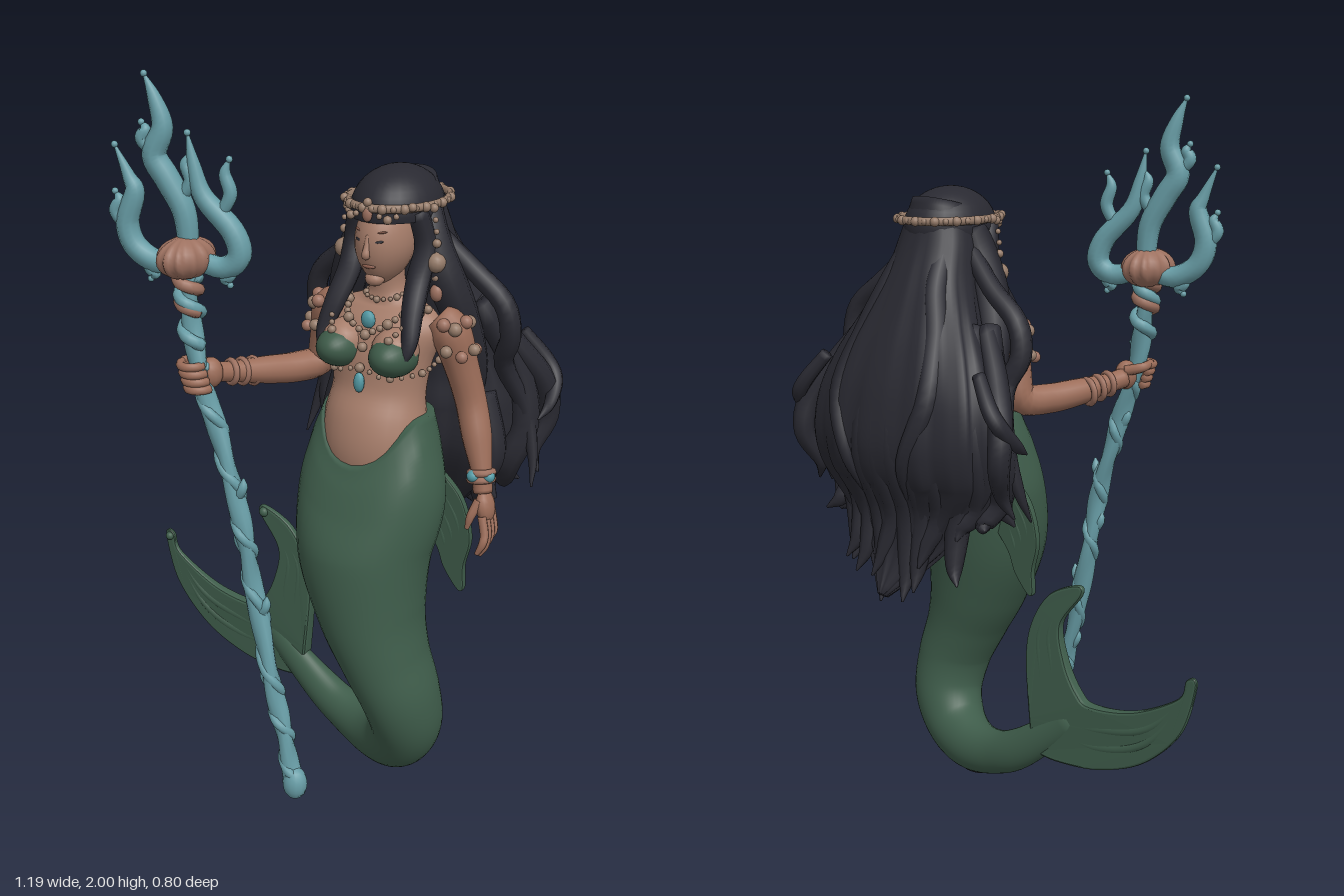
import * as THREE from 'three';

const C = 0.205; // mirror plane of the body
const mat = (name, color) => Object.assign(new THREE.MeshStandardMaterial({ color }), { name });
const vec = p => new THREE.Vector3(p[0], p[1], p[2]);
const curve = pts => new THREE.CatmullRomCurve3(pts.map(vec), false, 'catmullrom');
const both = fn => [1, -1].forEach(fn);

// Smooth loft through [x, y, z, half width, half depth] stations
function loft(pts, { seg = 20, sides = 8, ref = [0, 0, 1], ripple = () => 1 } = {}) {
  const path = curve(pts), size = curve(pts.map(p => [p[3], p[4] ?? p[3], 0]));
  const axis = vec(ref), pos = [], idx = [];
  for (let i = 0; i <= seg; i++) {
    const t = i / seg, c = path.getPoint(t), r = size.getPoint(t), T = path.getTangent(t);
    const side = T.clone().cross(axis).normalize(), depth = side.clone().cross(T);
    for (let j = 0; j < sides; j++) {
      const a = j / sides * Math.PI * 2, k = ripple(a, t);
      const v = c.clone().addScaledVector(side, Math.cos(a) * r.x * k).addScaledVector(depth, Math.sin(a) * r.y * k);
      pos.push(v.x, v.y, v.z);
    }
  }
  const n = (seg + 1) * sides, e = seg * sides;
  pos.push(...path.getPoint(0), ...path.getPoint(1));
  for (let j = 0; j < sides; j++) {
    const k = (j + 1) % sides;
    for (let o = 0; o < e; o += sides) {
      const p = o + sides;
      idx.push(o + j, p + j, o + k, p + j, p + k, o + k);
    }
    idx.push(n, j, k, n + 1, e + k, e + j);
  }
  const g = new THREE.BufferGeometry();
  g.setAttribute('position', new THREE.Float32BufferAttribute(pos, 3));
  g.setIndex(idx);
  g.computeVertexNormals();
  return g;
}

// Move every vertex by a rule
function warp(g, rule) {
  const p = g.attributes.position, v = new THREE.Vector3();
  for (let i = 0; i < p.count; i++) {
    rule(v.fromBufferAttribute(p, i));
    p.setXYZ(i, v.x, v.y, v.z);
  }
  g.computeVertexNormals();
  return g;
}

// Thin bevelled plate with a smooth outline
function plate(pts, depth, bevel) {
  const s = new THREE.Shape();
  s.moveTo(...pts[0]);
  s.splineThru(pts.slice(1).map(p => new THREE.Vector2(...p)));
  const opt = { depth, bevelThickness: bevel, bevelSize: bevel * .6, bevelSegments: 2, curveSegments: 60 };
  return new THREE.ExtrudeGeometry(s, opt).translate(0, 0, -depth / 2);
}

export function createModel() {
  const root = new THREE.Group();
  const skin = mat('skin', 0xa67d6a), armSkin = mat('arm skin', 0x9c6d59), tailGreen = mat('tail green', 0x3f5d4b);
  const hairBlack = mat('hair black', 0x292931), teal = mat('coral teal', 0x689da6), bead = mat('bead tan', 0x957b69);
  const gem = mat('gem turquoise', 0x5299a4), lip = mat('lip brown', 0x8a5c4c), shell = mat('shell brown', 0x9d7160);
  const finGreen = mat('fin green', 0x3d5a48);
  finGreen.side = THREE.DoubleSide;

  const add = (name, geo, m) => {
    const mesh = new THREE.Mesh(geo, m);
    mesh.name = name;
    root.add(mesh);
    return mesh;
  };
  const tube = (name, m, pts, opt) => add(name, loft(pts, opt), m);
  // Tube that swells in the middle and tapers to a point
  const taper = (name, m, w, pts, opt) => tube(name, m, pts.map((p, i) => {
    const t = i / (pts.length - 1);
    return [...p, w * (1 - t * t) * (.7 + .9 * t) + .003];
  }), opt);
  const ball = (name, m, x, y, z, sx, sy = sx, sz = sx) => {
    const b = add(name, new THREE.SphereGeometry(1, 14, 10), m);
    b.position.set(x, y, z);
    b.scale.set(sx, sy, sz);
    return b;
  };
  const ring = (name, m, at, dir, r, t) => {
    const o = add(name, new THREE.TorusGeometry(r, t, 8, 20), m);
    o.position.copy(vec(at));
    o.quaternion.setFromUnitVectors(new THREE.Vector3(0, 0, 1), vec(dir).normalize());
  };
  const beads = (name, m, pts, n, r) => {
    for (let i = 0; i <= n; i++) ball(name, m, ...curve(pts).getPointAt(i / n), r * (i % 3 ? .75 : 1.15));
  };

  // Tail, its waistline dipping in a rounded curve in front
  const tail = loft([[.21, 1.13, .05, .152, .143], [.21, 1.03, .06, .183, .16], [.215, .9, .085, .208, .168], [.215, .74, .12, .19, .172],
    [.25, .57, .135, .15, .157], [.295, .44, .135, .12, .14], [.338, .32, .12, .106, .125], [.342, .21, .09, .1, .108],
    [.29, .125, .06, .095, .09], [.2, .09, .025, .085, .075], [.09, .1, 0, .068, .056], [-.02, .15, -.015, .058, .045],
    [-.2, .29, -.02, .04, .02]], { seg: 90, sides: 40 });
  add('tail', warp(tail, v => {
    const front = THREE.MathUtils.smoothstep(v.z, .05, .18), mid = Math.max(0, 1 - ((v.x - C) / .17) ** 2);
    if (v.y > .75) v.y -= .14 * front * mid * (v.y - .75) / .38;
  }), tailGreen);
  // Dark patches on the hips and underside
  both(s => { ball('hipPatch', hairBlack, C + s * .12, .87, -.05, .028, .045, .006).rotation.y = -s * .53; });
  ball('underPatch', hairBlack, .18, .012, .02, .05, .009, .028);

  // Two lobed tail fin, thinner towards the tips
  const fluke = plate([[-.08, .17], [-.16, .16], [-.3, .175], [-.44, .235], [-.55, .35], [-.592, .49], [-.575, .5], [-.55, .44],
    [-.41, .365], [-.27, .345], [-.22, .375], [-.175, .46], [-.158, .57], [-.225, .67], [-.21, .685], [-.13, .645], [-.075, .56],
    [-.055, .45], [-.07, .26]], .02, .012);
  add('tailFin', warp(fluke, v => {
    v.z = v.z * (1.1 - .75 * Math.min(1, Math.hypot(v.x + .12, v.y - .26) / .5)) - .02;
  }), tailGreen);
  for (let i = 0; i < 2; i++) {
    taper('finRib', tailGreen, .018, [[-.14, .25 + .03 * i, -.02], [-.3, .235 + .055 * i, -.02], [-.46, .3 + .04 * i, -.02], [-.58, .48, -.02]]);
    taper('finRib', tailGreen, .018, [[-.12, .28, -.02], [-.1 - .04 * i, .42, -.02], [-.1 - .03 * i, .55, -.02], [-.21, .67, -.02]]);
  }
  ball('finTip', tailGreen, -.582, .495, -.012, .013);
  ball('finTip', tailGreen, -.216, .676, -.012, .015);

  // Hip fins
  both(s => {
    const f = plate([[.15, .98], [.235, .9], [.268, .79], [.252, .7], [.25, .625], [.2, .68], [.175, .74], [.13, .8]], .01, .006);
    const fin = add('hipFin', f, finGreen);
    fin.position.x = C;
    fin.scale.x = s;
    for (let i = 0; i < 3; i++) {
      taper('hipFinRib', tailGreen, .011, [[C + s * .17, .93 - i * .05, 0], [C + s * (.235 - i * .02), .82 - i * .03, 0], [C + s * (.245 - i * .025), .68 + i * .02, 0]]);
    }
  });

  // Torso and neck
  add('torso', loft([[.21, .93, .06, .13, .11], [.21, 1.02, .06, .146, .128], [C, 1.1, .052, .144, .122], [C, 1.18, .038, .132, .1],
    [C, 1.27, .025, .142, .1], [C, 1.345, .008, .165, .09], [C, 1.395, 0, .14, .065], [C, 1.425, 0, .07, .052],
    [C, 1.46, .002, .046], [C, 1.53, .01, .045]], { seg: 50, sides: 28 }), skin);
  ball('navel', lip, C, 1.085, .175, .005, .01, .004);

  // Chest with green cups and strings of beads
  both(s => {
    ball('breast', skin, C + s * .077, 1.31, .09, .062, .06, .068);
    const cup = add('cup', new THREE.SphereGeometry(1, 20, 14, 0, Math.PI * 2, 0, Math.PI * .6), finGreen);
    cup.position.set(C + s * .08, 1.297, .1);
    cup.scale.set(.06, .085, .054);
    cup.rotation.x = Math.PI / 2 - .1;
    beads('cupString', bead, [[C + s * .085, 1.35, .14], [C + s * .115, 1.39, .09], [C + s * .13, 1.41, .02]], 6, .01);
    beads('bandString', bead, [[C, 1.262, .135], [C + s * .075, 1.245, .135], [C + s * .14, 1.25, .06], [C + s * .14, 1.26, -.03]], 9, .009);
    beads('necklace', bead, [[C, 1.345, .115], [C + s * .06, 1.38, .1], [C + s * .1, 1.42, .03]], 7, .012);
    beads('choker', bead, [[C, 1.425, .06], [C + s * .04, 1.43, .045], [C + s * .055, 1.44, 0]], 5, .008);
  });
  const jewel = (y, z, w, h) => {
    const g = add('pendantGem', new THREE.SphereGeometry(1, 8, 6), gem);
    g.position.set(C, y, z);
    g.scale.set(w, h, .014);
  };
  jewel(1.382, .1, .022, .024);
  jewel(1.222, .142, .016, .028);
  ball('pendantBead', bead, C, 1.315, .128, .013);
  ball('pendantBead', bead, C, 1.262, .14, .013);

  // Head and face
  const head = add('head', warp(new THREE.SphereGeometry(1, 28, 22), v => { if (v.y < 0) v.x *= 1 - .32 * v.y * v.y; }), skin);
  head.position.set(C, 1.575, .02);
  head.scale.set(.074, .115, .094);
  tube('nose', skin, [[C, 1.605, .105, .006], [C, 1.575, .113, .008], [C, 1.556, .117, .011], [C, 1.55, .11, .009]]);
  ball('mouth', lip, C, 1.523, .1, .02, .006, .009);
  ball('chin', skin, C, 1.484, .07, .026, .02, .026);
  both(s => {
    ball('eye', hairBlack, C + s * .028, 1.59, .102, .013, .004, .005).rotation.set(0, s * .35, s * .12);
    ball('brow', lip, C + s * .03, 1.613, .096, .018, .003, .005).rotation.set(0, s * .35, s * .15);
  });

  // Hair: cap, flowing mass, loose strands
  const cap = add('hairCap', new THREE.SphereGeometry(1, 28, 12, 0, Math.PI * 2, 0, Math.PI * .54), hairBlack);
  cap.position.set(C, 1.65, -.04);
  cap.scale.set(.115, .11, .145);
  const hairRows = [[-.06, .085, .1], [-.09, .115, .1], [-.125, .14, .11], [-.17, .195, .115], [-.21, .255, .125], [-.237, .295, .135],
    [-.24, .305, .145], [-.225, .285, .125], [-.235, .21, .085], [-.27, .12, .055], [-.35, .015, .015]];
  add('hairMass', loft(hairRows.map((r, i) => [C, 1.71 - i * .104, ...r]), {
    seg: 60, sides: 72, ripple: (a, t) => 1 + t * (.05 * Math.cos(13 * a + 3 * t) + .035 * Math.cos(21 * a - 4 * t)),
  }), hairBlack);
  for (let i = 0; i < 13; i++) {
    const u = i / 6 - 1, q = u * u, w = Math.sin(i * 2.4) * .04;
    taper('backStrand', hairBlack, .044, [[C + .2 * u, 1.4, -.23 + .1 * q], [C + .28 * u, 1.22, -.325 + .12 * q], [C + .31 * u, 1.06, -.345 + .13 * q],
      [C + .28 * u, .9 + .05 * q, -.29 + .1 * q], [C + .26 * u + w / 2, .76 + .13 * q + w, -.31 + .08 * q], [C + .28 * u + w, .68 + .2 * q + w, -.35 + .1 * q]]);
  }
  both(s => {
    const lock = (name, w, pts) => taper(name, hairBlack, w, pts.map(([x, y, z]) => [C + s * x, y, z]), { seg: 28 });
    lock('faceLock', .033, [[.09, 1.66, .015], [.105, 1.57, -.005], [.103, 1.49, .025], [.115, 1.41, .075], [.128, 1.33, .115], [.108, 1.27, .15]]);
    lock('sideLock', .056, [[.08, 1.65, -.05], [.105, 1.57, -.04], [.145, 1.47, -.05], [.18, 1.36, -.08], [.2, 1.22, -.13], [.19, 1.08, -.16]]);
    lock('outerStrand', .03, [[.09, 1.6, -.07], [.19, 1.5, -.1], [.28, 1.42, -.11], [.3, 1.33, -.12], [.27, 1.24, -.15], [.315, 1.11, -.2], [.35, .98, -.19], [.365, .9, -.16]]);
    lock('outerStrand', .034, [[.2, 1.4, -.14], [.28, 1.28, -.2], [.34, 1.17, -.26], [.35, 1.07, -.28], [.33, .98, -.24], [.355, .92, -.22]]);
    lock('curl', .022, [[.27, 1.3, -.26], [.33, 1.22, -.29], [.362, 1.17, -.28], [.372, 1.12, -.23], [.365, 1.09, -.18]]);
    lock('hemStrand', .044, [[.22, 1.15, -.14], [.25, 1, -.14], [.24, .92, -.13], [.28, .86, -.12]]);
    lock('backWave', .038, [[.06, 1.6, -.14], [.08, 1.5, -.2], [.12, 1.38, -.25], [.15, 1.22, -.33], [.1, 1.06, -.365], [.07, .92, -.31]]);
  });

  // Beaded headband and hanging ornaments
  const band = add('headband', new THREE.TorusGeometry(1, .07, 8, 48), bead);
  band.position.set(C, 1.675, -.045);
  band.scale.set(.122, .153, .16);
  band.rotation.x = Math.PI / 2;
  for (let i = 0; i < 30; i++) {
    const a = i / 30 * Math.PI * 2;
    ball('headbandBead', bead, C + .126 * Math.cos(a), 1.675, -.045 + .157 * Math.sin(a), i % 2 ? .009 : .013);
  }
  ball('browPendant', shell, C, 1.66, .112, .014, .02, .01);
  both(s => {
    beads('browChain', bead, [[C, 1.69, .11], [C + s * .05, 1.65, .105], [C + s * .1, 1.68, .06]], 6, .01);
    beads('earChain', bead, [[C + s * .128, 1.67, 0], [C + s * .138, 1.6, 0], [C + s * .138, 1.46, -.005]], 7, .01);
    ball('earBead', bead, C + s * .138, 1.53, 0, .026);
    ball('earShell', shell, C + s * .14, 1.45, -.005, .018, .024, .018);
    // Shoulder and upper arm beads
    for (let i = 0; i < 5; i++) {
      const a = i / 4 * Math.PI, z = .055 * Math.cos(a) - .01, drop = .012 * (i % 2);
      ball('shoulderBead', i % 2 ? bead : shell, C + s * (.19 + .035 * Math.sin(a)), 1.385 - drop, z, .018);
      ball('armBead', i % 2 ? shell : bead, C + s * (.2 + .052 * Math.sin(a)), 1.315 - drop, z, .016);
    }
  });

  // Arms: one reaching to the staff, one hanging
  tube('rightArm', armSkin, [[.06, 1.385, 0, .04], [.025, 1.355, -.008, .054], [0, 1.27, -.02, .046], [-.02, 1.195, -.018, .043],
    [-.055, 1.185, .05, .042], [-.1, 1.195, .14, .038], [-.14, 1.21, .23, .028], [-.16, 1.22, .28, .028]], { seg: 30, sides: 14, ref: [1, 0, 0] });
  tube('leftArm', armSkin, [[.35, 1.385, 0, .04], [.385, 1.355, -.008, .054], [.41, 1.26, -.03, .046], [.435, 1.16, -.045, .042],
    [.465, 1.07, -.03, .04], [.495, .98, -.008, .027], [.505, .93, 0, .026]], { seg: 30, sides: 14 });
  for (let i = 0; i < 3; i++) ring('armBangle', shell, [-.121 - i * .01, 1.195 + i * .007, .16 + i * .035], [-.4, .1, .9], .034 - i * .002, .009);
  for (let i = 0; i < 2; i++) ring('wristBand', shell, [.497, .965 + i * .02, -.003], [.2, -1, .2], .03, .01);
  both(s => ball('wristGem', gem, .505 + s * .018, .982, .016 - s * .01, .017, .016, .017));

  // Gripping hand
  ball('rightPalm', armSkin, -.155, 1.225, .3, .032, .042, .034);
  for (let i = 0; i < 4; i++) {
    const y = 1.195 + i * .02, x = -.165 - i * .007;
    const pts = [0, .7, 1.4, 2.1, 2.8, 3.5].map(a => [x + .032 * Math.cos(a), y, .335 + .036 * Math.sin(a), .012]);
    tube('gripFinger', armSkin, pts, { ref: [0, 1, 0] });
  }
  tube('gripThumb', armSkin, [[-.165, 1.24, .28, .015], [-.21, 1.252, .3, .014], [-.215, 1.262, .34, .01]], { ref: [0, 1, 0] });
  // Relaxed hand
  ball('leftPalm', armSkin, .517, .895, .005, .023, .045, .036).rotation.z = .2;
  for (let i = 0; i < 4; i++) {
    const z = -.022 + i * .018, d = .02 * Math.abs(i - 2) / 2;
    tube('leftFinger', armSkin, [[.522, .875, z, .012], [.535, .83, z + .008, .012], [.535, .795 + d, z + .018, .011], [.522, .765 + d, z + .024, .006]]);
  }
  tube('leftThumb', armSkin, [[.507, .915, .025, .014], [.495, .875, .045, .012], [.488, .84, .052, .006]]);

  // Coral staff with a vine wound about it
  const shaft = [[.13, .025, .335], [.085, .2, .325], [.045, .37, .327], [-.02, .64, .315], [-.05, .84, .325], [-.11, 1.05, .325], [-.17, 1.24, .33], [-.2, 1.4, .32], [-.21, 1.55, .32]];
  const line = curve(shaft);
  add('staff', loft(shaft.map(p => [...p, .025]), { seg: 90, sides: 12, ripple: (a, t) => 1 + .16 * Math.cos(2 * a + 40 * t) }), teal);
  ball('staffFoot', teal, .125, .058, .333, .036, .05, .034);
  const vine = (name, m, t0, t1, turns, r, thick) => {
    const pts = Array.from({ length: turns * 8 + 1 }, (_, i) => {
      const v = line.getPoint(t0 + (t1 - t0) * i / (turns * 8)), a = i * Math.PI / 4;
      return [v.x + r * Math.cos(a), v.y, v.z + r * Math.sin(a), thick];
    });
    tube(name, m, pts, { seg: turns * 20, ref: [0, 1, 0] });
  };
  vine('staffVine', teal, .03, .76, 7, .018, .014);
  vine('staffVine', teal, .8, .95, 2, .026, .017);
  vine('staffWrap', shell, .87, .97, 2, .026, .017);
  for (let i = 0; i < 5; i++) {
    const v = line.getPoint(.24 + i * .1), s = i % 2 ? 1 : -1;
    taper('staffTwig', teal, .014, [[v.x, v.y - .02, v.z], [v.x + s * .025, v.y + .02, v.z], [v.x + s * .03, v.y + .05, v.z]]);
  }

  // Ridged shell at the fork
  const fork = add('forkShell', warp(new THREE.SphereGeometry(1, 48, 14), v => {
    const k = 1 + .07 * Math.cos(12 * Math.atan2(v.z, v.x));
    v.x *= k;
    v.z *= k;
  }), shell);
  fork.position.set(-.212, 1.533, .315);
  fork.scale.set(.066, .055, .086);

  // Wavy prongs in a slightly turned plane, all leaning the same way
  const prong = (w, pts) => {
    const path = pts.map(([x, y]) => [x, y, .31 - .3 * (x + .23)]);
    taper('prong', teal, w, path, { seg: 30, sides: 10 });
    ball('prongTip', teal, ...path[path.length - 1], .009);
  };
  prong(.034, [[-.21, 1.55], [-.22, 1.65], [-.26, 1.73], [-.292, 1.79], [-.268, 1.86], [-.285, 1.93], [-.31, 1.99]]);
  both(s => prong(.032, [[0, 1.535], [.08, 1.51], [.135, 1.545], [.137, 1.61], [.09, 1.69], [.085, 1.75], [.095, 1.83]].map(
    ([x, y]) => [-.21 + s * x - .3 * (y - 1.53), y + (s > 0 ? .02 : -.02) * (y > 1.7)])));
  // Side shoots
  const shoot = (x, y, dx, dy) => prong(.017, [[x, y], [x + dx, y + dy * .4], [x + dx * .6, y + dy * .75], [x + dx, y + dy]]);
  shoot(-.13, 1.64, .03, .15);
  shoot(-.23, 1.68, .03, .12);
  shoot(-.375, 1.6, -.025, .09);
  shoot(-.3, 1.8, -.022, .07);
  both(s => shoot(-.21 + s * .075, 1.52, s * .03, -.055));
  return root;
}
